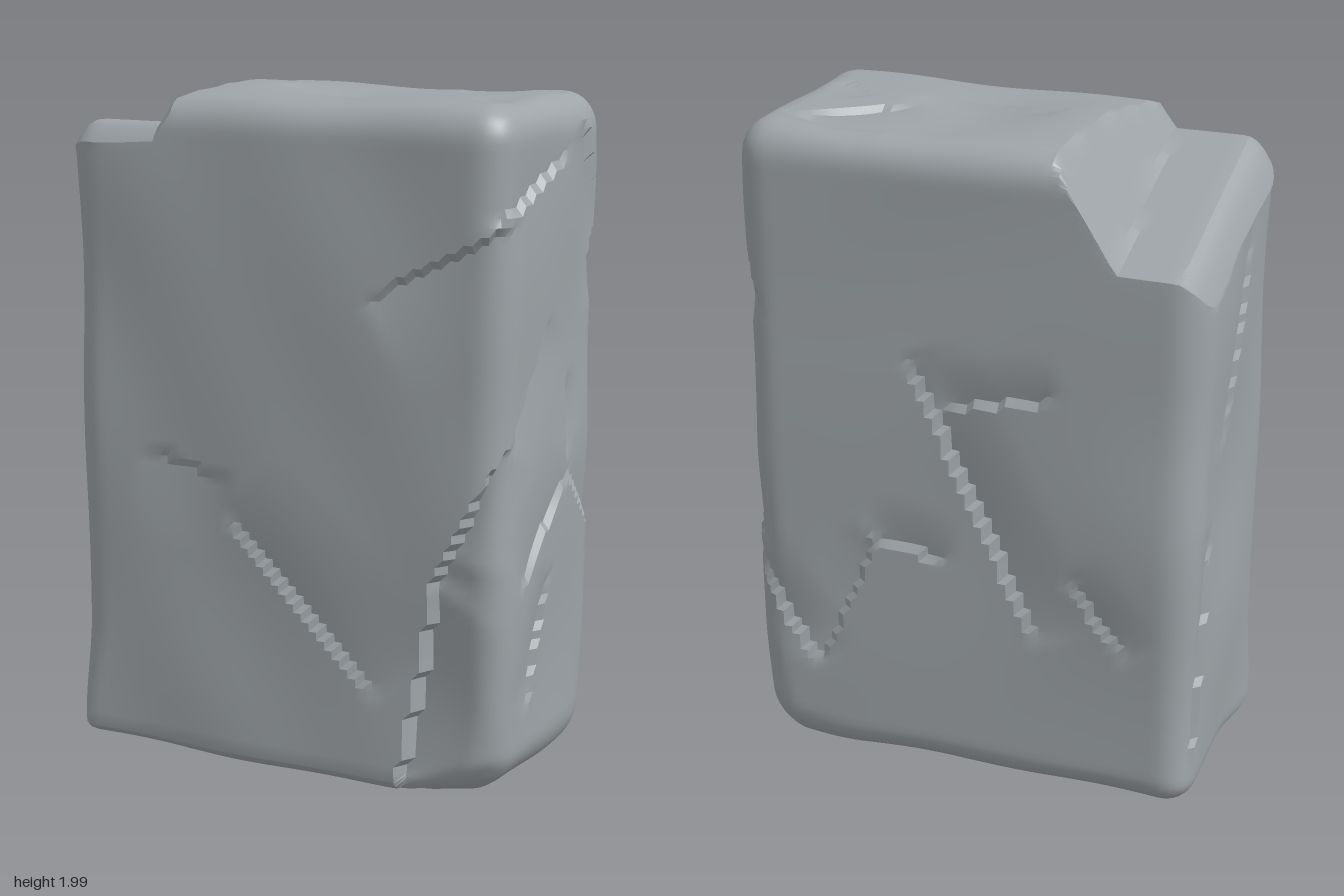
import * as THREE from 'three';
import { mergeVertices, toCreasedNormals } from 'three/addons/utils/BufferGeometryUtils.js';

const HALF = new THREE.Vector3(0.69, 0.975, 0.36);
const { clamp, lerp, smoothstep } = THREE.MathUtils;

// Chipped ledges per face: [ax, ay, bx, by, depth, width];
// the surface drops just right of the direction a -> b and recovers over the width.
const FRONT = [
  [0.32, 0.28, -0.18, 0.78, 0.022, 0.3],
  [0.28, 1.44, 0.8, 1.72, 0.025, 0.3],
  [0.36, -0.1, 0.5, 0.72, 0.05, 0.35],
  [0.48, 0.65, 0.74, 1.15, 0.045, 0.3],
  [-0.45, 0.95, -0.15, 0.88, 0.012, 0.25],
];
const BACK = [
  [0.18, 1.35, -0.22, 0.5, 0.03, 0.22],
  [0.08, 1.2, -0.28, 1.28, 0.022, 0.15],
  [0.7, 0.65, 0.48, 0.3, 0.022, 0.16],
  [0.48, 0.3, 0.28, 0.75, 0.022, 0.16],
  [0.32, 0.76, 0.05, 0.72, 0.02, 0.16],
  [-0.3, 0.75, -0.5, 0.5, 0.015, 0.15],
];
const LEFT = [
  [0.22, 0.62, -0.12, 0.9, 0.02, 0.2],
  [-0.1, 0.9, -0.36, 0.65, 0.02, 0.2],
  [0.14, 0.25, 0.0, 0.62, 0.02, 0.15],
  [0.4, 1.66, -0.08, 1.82, 0.022, 0.25],
  [0.04, 1.38, 0.28, 1.05, 0.018, 0.18],
  [-0.36, 1.4, -0.2, 1.9, 0.03, 0.2],
  [-0.1, 1.18, -0.1, 0.92, 0.02, 0.12],
];
const RIGHT = [
  [0.1, 1.7, -0.1, 1.1, 0.015, 0.25],
  [-0.2, 0.9, -0.3, 0.1, 0.02, 0.2],
];
const TOP = [
  [0.28, -0.24, 0.62, -0.18, 0.02, 0.14],
  [0.3, 0.02, 0.55, -0.2, 0.02, 0.2],
  [-0.15, 0.07, 0.32, 0.1, 0.018, 0.16],
  [0.44, 0.05, 0.58, 0.17, 0.015, 0.14],
];

function ledgeDepth(u, v, ledges) {
  let sum = 0;
  for (const [ax, ay, bx, by, depth, width] of ledges) {
    const dx = bx - ax, dy = by - ay, len = Math.hypot(dx, dy);
    const t = ((u - ax) * dx + (v - ay) * dy) / (len * len);
    const d = ((u - ax) * dy - (v - ay) * dx) / len;
    if (t > 0 && t < 1 && d > 0 && d < width) {
      sum += depth * Math.sqrt(Math.sin(Math.PI * t)) * (1 - d / width) ** 1.5;
    }
  }
  return sum;
}

const bump = (u, v, cu, cv, size) => Math.exp(-((u - cu) ** 2 + (v - cv) ** 2) / size ** 2);

// Broad, gentle unevenness
function waves(p) {
  return 0.006 * Math.sin(4.1 * p.x + 2.3 * p.y + 1.0) * Math.cos(3.7 * p.y - 2.9 * p.z)
    + 0.004 * Math.sin(7.3 * p.y + 5.1 * p.z + 3.0 * p.x)
    + 0.003 * Math.sin(11.0 * p.x - 9.0 * p.z + 6.0 * p.y);
}

// Sloping floor and wall of the broken top corner
function notchHeight(x, z) {
  const t = clamp((z + 0.35) / 0.68, 0, 1);
  let floor = 1.67 + 0.235 * t;
  floor -= 0.1 * Math.max(0, (-0.6 - x) / 0.09) ** 2;
  floor -= 0.07 * Math.max(0, (z - 0.28) / 0.09) ** 2;
  return floor + 1.5 * Math.max(0, x - (-0.44 + 0.05 * t));
}

function shapeVertex(p) {
  // Rounded edges: tight along the front foot, wide at the lower left corner
  const foot = 1 - smoothstep(p.y, -0.95, -0.6);
  let r = lerp(0.1, 0.045, foot * smoothstep(p.z, 0, 0.3));
  r = lerp(r, 0.14, foot * smoothstep(p.x, 0.35, 0.65));
  const inner = new THREE.Vector3(
    clamp(p.x, r - HALF.x, HALF.x - r),
    clamp(p.y, r - HALF.y, HALF.y - r),
    clamp(p.z, r - HALF.z, HALF.z - r));
  const n = p.clone().sub(inner).normalize();
  p.copy(inner).addScaledVector(n, r);
  p.y += 1;
  p.z += 0.005;

  // Chips and swellings, blended by the direction of the surface
  let push = waves(p);
  push -= ledgeDepth(p.x, p.y, n.z > 0 ? FRONT : BACK) * Math.abs(n.z);
  push -= ledgeDepth(p.z, p.y, n.x > 0 ? LEFT : RIGHT) * Math.abs(n.x);
  if (n.y > 0) push -= ledgeDepth(p.x, p.z, TOP) * n.y;
  if (n.z > 0) push += 0.012 * bump(p.x, p.y, 0, 1.3, 0.35) * n.z;
  if (n.z < 0) push -= 0.03 * bump(p.x, p.y, -0.55, 0.9, 0.3) * n.z;
  if (n.y > 0) {
    push += (0.02 * bump(p.x, p.z, -0.2, 0, 0.2) - 0.025 * bump(p.x, p.z, 0.12, -0.1, 0.22)) * n.y;
  }
  p.addScaledVector(n, push);

  // Low point of the foot, then the broken corner
  p.y -= 0.022 * bump(p.x, p.z, 0.57, -0.2, 0.25) * foot;
  if (p.y > 1.4) p.y = Math.min(p.y, notchHeight(p.x, p.z));
  p.y = clamp(p.y, 0, 2);
}

export function createModel() {
  const group = new THREE.Group();
  group.name = 'stoneBlock';
  const stone = new THREE.MeshStandardMaterial({ color: 0x9ea4a8 });
  stone.name = 'grey stone';

  let geometry = new THREE.BoxGeometry(HALF.x * 2, HALF.y * 2, HALF.z * 2, 56, 80, 30);
  geometry.deleteAttribute('uv');
  geometry.deleteAttribute('normal');
  geometry = mergeVertices(geometry);

  const pos = geometry.attributes.position;
  const p = new THREE.Vector3();
  for (let i = 0; i < pos.count; i++) {
    p.fromBufferAttribute(pos, i);
    shapeVertex(p);
    pos.setXYZ(i, p.x, p.y, p.z);
  }

  const block = new THREE.Mesh(toCreasedNormals(geometry, 0.4), stone);
  block.name = 'weatheredBlock';
  group.add(block);
  return group;
}
